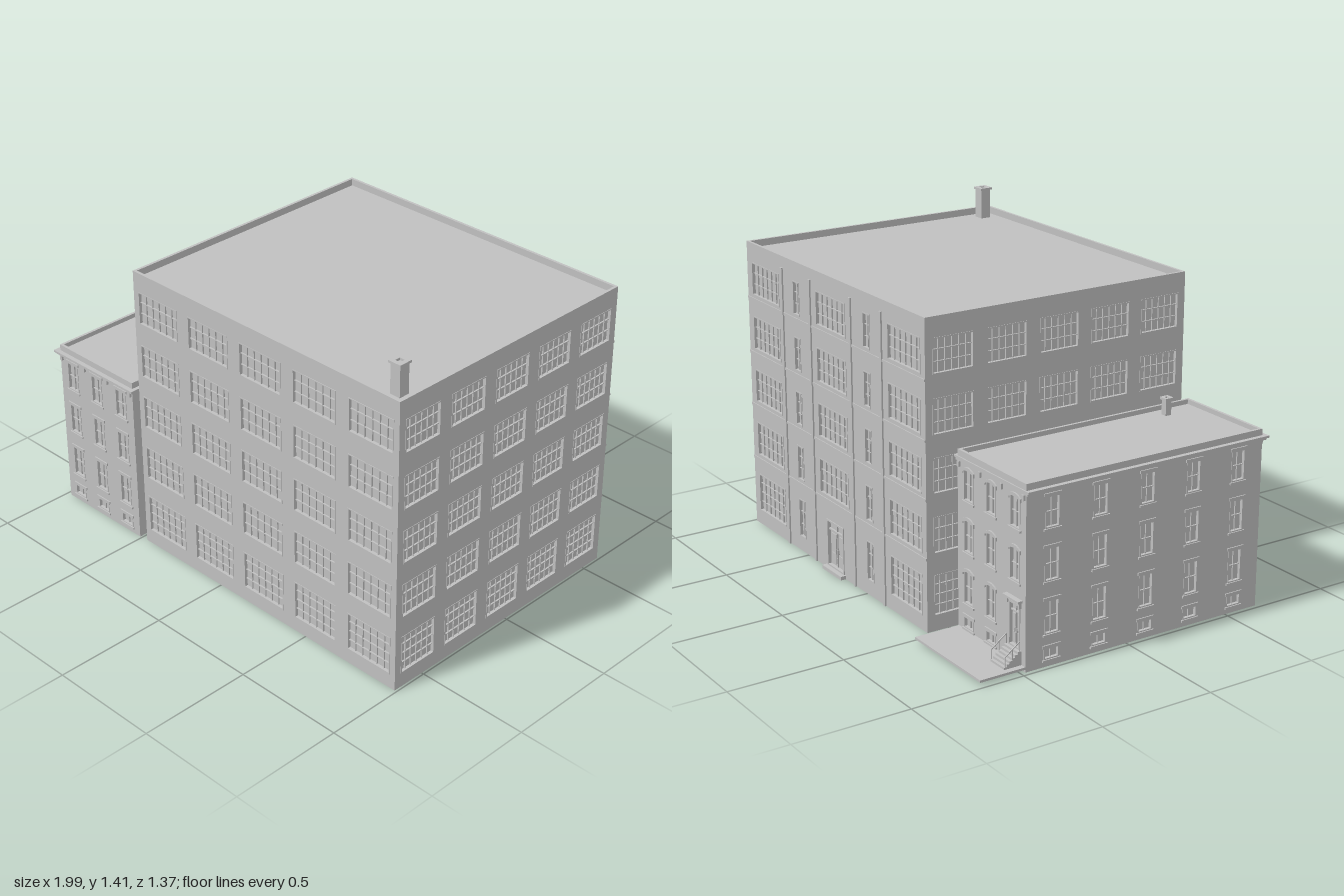
import * as THREE from 'three';
import { mergeGeometries } from 'three/addons/utils/BufferGeometryUtils.js';

const T = 0.012; // wall thickness, also depth of the window reveals
const paint = new THREE.MeshStandardMaterial({ color: 0xc0c0c0 });
paint.name = 'plain grey';

// Box given by its limits on each axis
function slab(x0, x1, y0, y1, z0, z1) {
  return new THREE.BoxGeometry(x1 - x0, y1 - y0, z1 - z0)
    .translate((x0 + x1) / 2, (y0 + y1) / 2, (z0 + z1) / 2);
}

function part(parent, name, geometries) {
  const mesh = new THREE.Mesh(mergeGeometries(geometries.map(g => g.index ? g.toNonIndexed() : g)), paint);
  mesh.name = name;
  parent.add(mesh);
  return mesh;
}

function extrude(shape, depth, z) {
  return new THREE.ExtrudeGeometry(shape, { depth, bevelEnabled: false, curveSegments: 6 }).translate(0, 0, z);
}

// Outline of an opening, with an optional segmental arch of the given rise
function outline(path, { x, y, w, h, rise = 0 }) {
  path.moveTo(x - w / 2, y);
  path.lineTo(x + w / 2, y);
  path.lineTo(x + w / 2, y + h - rise);
  if (rise) path.quadraticCurveTo(x, y + h + rise, x - w / 2, y + h - rise);
  else path.lineTo(x - w / 2, y + h);
  path.closePath();
  return path;
}

// Frame and glazing bars, set inside the reveal
function glazing({ x, y, w, h, cols, rows, frame = 0.005, front = 0.002 }) {
  const l = x - w / 2, r = x + w / 2, t = y + h, b = 0.0014, out = [];
  out.push(slab(l, l + frame, y, t, -T, front), slab(r - frame, r, y, t, -T, front));
  out.push(slab(l, r, y, y + frame, -T, front), slab(l, r, t - frame, t, -T, front));
  for (let i = 1; i < cols; i++) {
    const u = l + w * i / cols;
    out.push(slab(u - b, u + b, y, t, -T, -T + 0.006));
  }
  for (let j = 1; j < rows; j++) {
    const v = y + h * j / rows;
    out.push(slab(l, r, v - b, v + b, -T, -T + 0.007));
  }
  return out;
}

// Sill below and lintel (flat or arched) above a window
function trim({ x, y, w, h, rise = 0 }) {
  const a = w / 2 + 0.007, top = y + h, out = [slab(x - a, x + a, y - 0.009, y, -T, 0.007)];
  if (!rise) return [...out, slab(x - a, x + a, top, top + 0.012, -T, 0.005)];
  const s = new THREE.Shape();
  const foot = top - rise;
  s.moveTo(x + w / 2, foot - 0.008);
  s.lineTo(x + a, foot - 0.008);
  s.lineTo(x + a, foot + 0.008);
  s.quadraticCurveTo(x, top + rise + 0.018, x - a, foot + 0.008);
  s.lineTo(x - a, foot - 0.008);
  s.lineTo(x - w / 2, foot - 0.008);
  s.lineTo(x - w / 2, foot);
  s.quadraticCurveTo(x, top + rise, x + w / 2, foot);
  s.closePath();
  return [...out, extrude(s, T + 0.007, -T)];
}

// Double door with panels, in a surround
function doorLeaves({ x, y, w, h }) {
  const out = glazing({ x, y, w, h, cols: 2, rows: 1, frame: 0.007, front: 0.004 });
  out.push(slab(x - w / 2, x + w / 2, y + h * 0.78, y + h * 0.81, -T, -0.003));
  for (const s of [-1, 1]) {
    for (const [lo, hi] of [[0.08, 0.3], [0.36, 0.72]]) {
      const u = x + s * w * 0.23, k = w * 0.13;
      out.push(slab(u - k, u + k, y + h * lo, y + h * hi, -T, -T + 0.004));
    }
    out.push(slab(x + s * 0.007 - 0.002, x + s * 0.007 + 0.002, y + h * 0.32, y + h * 0.42, -T, -0.002));
  }
  return out;
}

// One pierced wall, drawn facing +z with its outer face on z = 0
function facade(name, width, height, openings) {
  const g = new THREE.Group();
  g.name = name;
  const wall = outline(new THREE.Shape(), { x: 0, y: 0, w: width, h: height });
  openings.forEach(o => wall.holes.push(outline(new THREE.Path(), o)));
  part(g, 'wall', [extrude(wall, T, -T)]);
  const windows = openings.filter(o => !o.door), doors = openings.filter(o => o.door);
  part(g, 'windowFrames', windows.flatMap(glazing));
  const trimmed = windows.filter(o => o.trimmed);
  if (trimmed.length) part(g, 'sillsAndLintels', trimmed.flatMap(trim));
  if (doors.length) part(g, 'door', doors.flatMap(doorLeaves));
  return g;
}

// Four walls round a solid core whose top is the sunken roof
function building(name, [x0, x1], [z0, z1], height, roof, faces) {
  const g = new THREE.Group();
  g.name = name;
  const cx = (x0 + x1) / 2, cz = (z0 + z1) / 2, w = x1 - x0, d = z1 - z0 - 2 * T;
  const spots = {
    front: [w, cx, z1, 0], back: [w, cx, z0, Math.PI],
    left: [d, x1, cz, Math.PI / 2], right: [d, x0, cz, -Math.PI / 2],
  };
  for (const [side, [width, x, z, turn]] of Object.entries(spots)) {
    const f = facade(side + 'Wall', width, height, faces[side]);
    f.position.set(x, 0, z);
    f.rotation.y = turn;
    g.add(f);
  }
  part(g, 'roofAndPanes', [slab(x0 + T, x1 - T, 0, roof, z0 + T, z1 - T)]);
  return g;
}

function chimney(parent, x, z, y0, y1, half) {
  const cap = half + 0.006, flue = half * 0.5;
  const ring = outline(new THREE.Shape(), { x: 0, y: -cap, w: 2 * cap, h: 2 * cap });
  ring.holes.push(outline(new THREE.Path(), { x: 0, y: -flue, w: 2 * flue, h: 2 * flue }));
  part(parent, 'chimney', [
    slab(x - half, x + half, y0, y1 - 0.01, z - half, z + half),
    extrude(ring, 0.01, 0).rotateX(-Math.PI / 2).translate(x, y1 - 0.01, z),
  ]);
}

function warehouse() {
  const floors = [[0.065, 0.175], [0.33, 0.155], [0.58, 0.15], [0.822, 0.15], [1.068, 0.147]];
  const wide = (x, w) => floors.map(([y, h], i) => ({ x, y, w, h, cols: 6, rows: i ? 3 : 4 }));
  const row = (step, w) => [-2, -1, 0, 1, 2].flatMap(i => wide(i * step, w));
  const narrow = x => floors.map(([y, h]) => ({ x, y, w: 0.055, h, cols: 2, rows: 3 }));
  const back = [
    ...wide(-0.565, 0.245), ...wide(0, 0.245).slice(1), ...wide(0.575, 0.245),
    ...narrow(-0.29), ...narrow(0.29),
    { x: 0, y: 0.016, w: 0.14, h: 0.21, door: true },
  ];
  const sides = row(0.25, 0.19);
  const g = building('warehouse', [-0.47, 0.99], [-0.6, 0.655], 1.3, 1.27,
    { front: row(0.294, 0.23), back, left: sides, right: sides });
  // Raised piers and string courses on the back wall
  const piers = [0.67, 0.43, 0.095, -0.145].map(x => slab(x - 0.008, x + 0.008, 0, 1.25, -0.607, -0.599));
  part(g, 'piers', piers);
  part(g, 'stringCourses', floors.slice(1).map(([y]) => slab(-0.47, 0.99, y - 0.022, y - 0.012, -0.604, -0.599)));
  part(g, 'doorStep', [slab(0.18, 0.34, 0, 0.016, -0.625, -0.599)]);
  chimney(g, 0.912, 0.575, 1.26, 1.41, 0.024);
  return g;
}

function townhouse() {
  const floors = [[0.135, 0.14], [0.353, 0.137], [0.568, 0.13]];
  const column = (x, rise = 0) => [
    { x, y: 0.03, w: 0.07, h: 0.048, cols: 2, rows: 1, trimmed: true },
    ...floors.map(([y, h]) => ({ x, y, w: 0.068, h, cols: 2, rows: 2, rise, trimmed: true })),
  ];
  const sides = [-2, -1, 0, 1, 2].flatMap(i => column(i * 0.225));
  const front = [-0.157, 0, 0.157].flatMap(x => column(x));
  const back = [
    ...column(-0.157, 0.01), ...column(0, 0.01), ...column(0.162, 0.01).slice(2),
    { x: 0.162, y: 0.08, w: 0.075, h: 0.185, door: true },
  ];
  const g = building('townhouse', [-0.98, -0.51], [-0.48, 0.66], 0.765, 0.745,
    { front, back, left: sides, right: sides });
  // Cornice round the top, with brackets below it
  const cornice = [slab(-1, -0.492, 0.729, 0.738, -0.485, 0.68), slab(-0.992, -0.5, 0.72, 0.729, -0.484, 0.672)];
  part(g, 'cornice', cornice);
  const brackets = [];
  for (let i = 0; i < 4; i++) {
    const x = -0.967 + i * 0.148;
    brackets.push(slab(x - 0.006, x + 0.006, 0.697, 0.72, 0.659, 0.67));
    brackets.push(slab(x - 0.006, x + 0.006, 0.697, 0.72, -0.489, -0.479));
  }
  part(g, 'brackets', brackets);
  // Hood over the back door
  part(g, 'doorHood', [
    slab(-0.96, -0.854, 0.28, 0.289, -0.502, -0.479),
    slab(-0.953, -0.943, 0.255, 0.28, -0.492, -0.479), slab(-0.871, -0.861, 0.255, 0.28, -0.492, -0.479),
  ]);
  // Forecourt slab, steps and handrails
  part(g, 'forecourt', [slab(-0.98, -0.515, 0.012, 0.022, -0.685, -0.479)]);
  const steps = [], rails = [];
  for (let i = 0; i < 6; i++) steps.push(slab(-0.955, -0.86, 0.02, 0.031 + i * 0.0098, -0.56 + i * 0.0125, -0.479));
  for (const x of [-0.953, -0.862]) {
    for (const [y, z] of [[0.03, -0.555], [0.055, -0.522], [0.078, -0.488]])
      rails.push(slab(x - 0.0015, x + 0.0015, y, y + 0.042, z - 0.0015, z + 0.0015));
    rails.push(new THREE.BoxGeometry(0.004, 0.004, 0.084).rotateX(-Math.atan2(0.048, 0.067)).translate(x, 0.097, -0.5215));
  }
  part(g, 'steps', steps);
  part(g, 'handrails', rails);
  chimney(g, -0.583, 0.487, 0.74, 0.82, 0.014);
  return g;
}

export function createModel() {
  const model = new THREE.Group();
  model.name = 'cityBlock';
  model.add(warehouse(), townhouse());
  return model;
}
